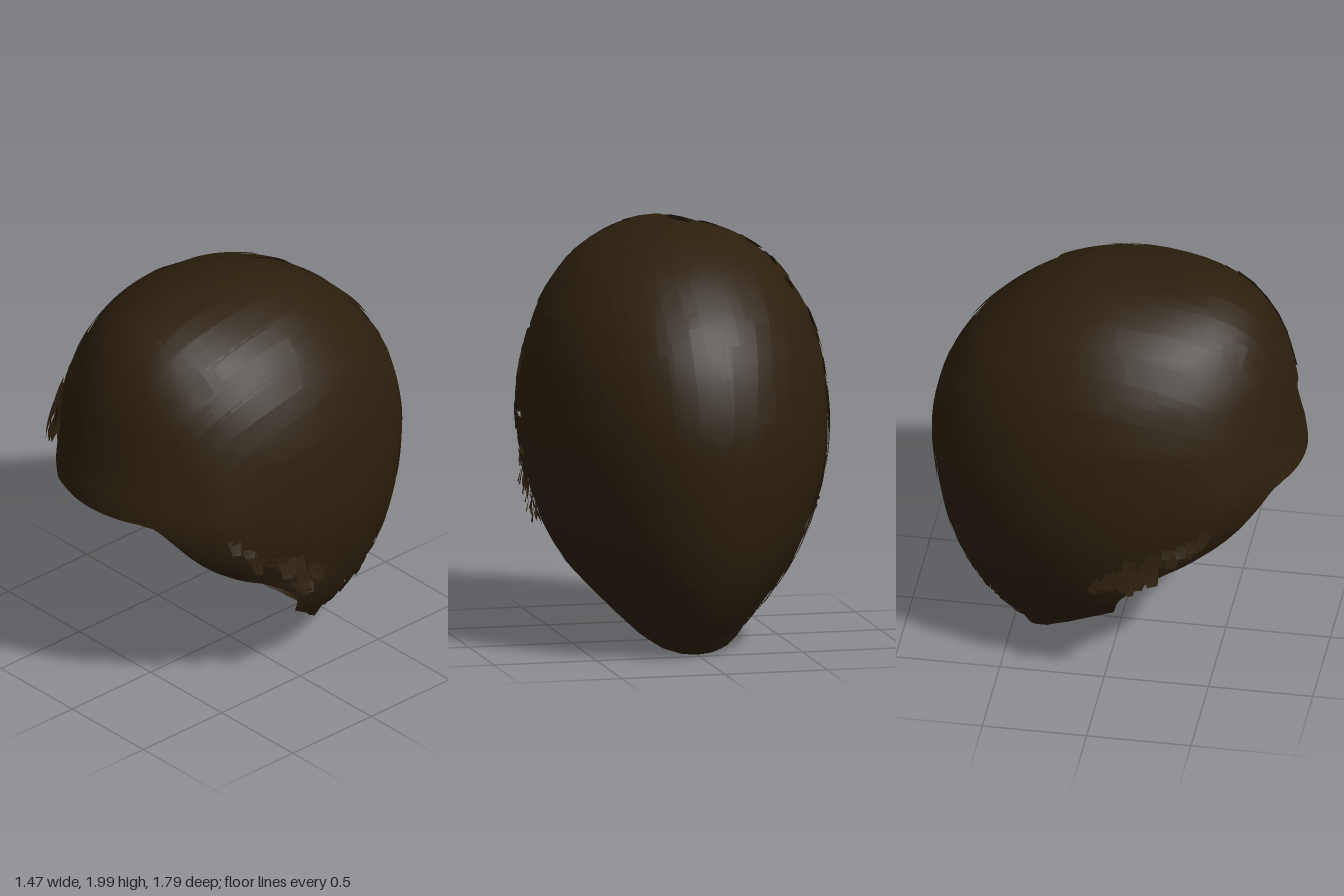
import * as THREE from 'three';

const TOP = 1.975, ZC = 0.05;

// head sections: y, half width, front z, back z
const SECTIONS = [
  [1.975, 0, 0.05, 0.05], [1.96, 0.16, 0.38, -0.18], [1.9, 0.33, 0.56, -0.33], [1.8, 0.47, 0.68, -0.5],
  [1.6, 0.61, 0.78, -0.71], [1.4, 0.68, 0.82, -0.82], [1.2, 0.705, 0.86, -0.87], [1.07, 0.71, 0.9, -0.88],
  [0.9, 0.7, 0.83, -0.865], [0.8, 0.68, 0.75, -0.85], [0.7, 0.65, 0.62, -0.83], [0.6, 0.62, 0.48, -0.81],
  [0.4, 0.53, 0.4, -0.74], [0.2, 0.37, 0.3, -0.62], [0.1, 0.31, 0.25, -0.53], [0, 0.29, 0.2, -0.41],
];
// lower rim of the scalp and start of the hair: angle from the front, y
const RIM = [[0, 1.075], [0.4, 1.075], [0.49, 1.065], [0.57, 1.02], [0.68, 0.9], [0.76, 0.8], [0.86, 0.73],
  [0.95, 0.695], [1.08, 0.67], [1.3, 0.59], [1.5, 0.5], [1.57, 0.4], [1.7, 0.33], [1.95, 0.2], [2.26, 0.1],
  [2.6, 0.04], [2.9, 0.015], [3.15, 0.01]];
const HAIRLINE = [[0, 1.36], [0.5, 1.33], [0.7, 1.2], [1, 1], [1.3, 0.75], [1.5, 0.56], [1.6, 0.42],
  [1.95, 0.24], [2.26, 0.16], [3.15, 0.1]];

function lookup(table, key, col = 1) {
  let i = 0;
  while (i < table.length - 2 && key > table[i + 1][0]) i++;
  const a = table[i], b = table[i + 1];
  const t = THREE.MathUtils.clamp((key - a[0]) / (b[0] - a[0]), 0, 1);
  return a[col] + (b[col] - a[col]) * t;
}

// sections keyed by root of depth, so that the crown is round
const depthKey = y => Math.sqrt(Math.max(0, TOP - y));
const KEYED = SECTIONS.map(([y, ...r]) => [depthKey(y), ...r]);
function section(y) {
  const k = depthKey(y), e = 0.04;
  return [1, 2, 3].map(c => (k < e ? lookup(KEYED, k, c)
    : (lookup(KEYED, k - e, c) + 2 * lookup(KEYED, k, c) + lookup(KEYED, k + e, c)) / 4));
}

function scalpPoint(phi, y) {
  const [w, f, b] = section(y);
  const c = Math.cos(phi);
  return new THREE.Vector3(w * Math.sin(phi), y, ZC + (c > 0 ? f - ZC : ZC - b) * c);
}

// position inside its section: 1 is on the surface
function relative(p) {
  const [w, f, b] = section(p.y);
  return [Math.abs(p.x) / Math.max(w, 1e-4), (p.z - ZC) / Math.max(p.z > ZC ? f - ZC : ZC - b, 1e-4)];
}
const angleOf = p => Math.atan2(...relative(p));

// where a ray from the middle of the head leaves it
const CENTRE = new THREE.Vector3(0, 0.9, 0);
function hit(dir) {
  let lo = 0, hi = 1.6;
  const p = new THREE.Vector3();
  for (let i = 0; i < 18; i++) {
    const m = (lo + hi) / 2;
    p.copy(CENTRE).addScaledVector(dir, m);
    if (p.y < TOP && p.y > 0 && Math.hypot(...relative(p)) < 1) lo = m; else hi = m;
  }
  return p;
}

function makeGeometry(pos, index) {
  const g = new THREE.BufferGeometry();
  g.setAttribute('position', new THREE.Float32BufferAttribute(pos, 3));
  g.setIndex(index);
  g.computeVertexNormals();
  return g;
}

function scalpGeometry() {
  const N = 128, M = 36, pos = [], index = [];
  for (let j = 0; j <= M; j++) {
    for (let i = 0; i < N; i++) {
      const phi = (i / N) * Math.PI * 2;
      const rim = lookup(RIM, Math.min(phi, Math.PI * 2 - phi));
      const y = TOP - (TOP - rim) * (1 - Math.cos((Math.max(j, 0.02) / M) * Math.PI / 2));
      pos.push(...scalpPoint(phi, y).toArray());
      if (j < M) {
        const a = j * N + i, b = j * N + (i + 1) % N;
        index.push(a, a + N, b, b, a + N, b + N);
      }
    }
  }
  return makeGeometry(pos, index);
}

let seed = 7;
const rand = (lo = 0, hi = 1) => {
  seed = (seed * 16807) % 2147483647;
  return lo + (hi - lo) * (seed / 2147483647);
};

// strands run from the brow over the head to the nape
const BROW = new THREE.Vector3(0, -0.15, 1).normalize();
const NAPE = new THREE.Vector3(0, -0.8, -0.6).normalize();
const UP = new THREE.Vector3(0, 0.93, -0.37).normalize();
function strandPoint(a, th) {
  const c = Math.cos(a), s = Math.sin(a);
  const d = (c > 0 ? BROW : NAPE).clone().multiplyScalar(Math.abs(c));
  d.addScaledVector(UP, s * Math.cos(th));
  d.x += s * Math.sin(th);
  return hit(d.normalize());
}

// the hair is fuller at the temples
const fullness = (phi, y) => 0.045 * Math.exp(-(((phi - 0.9) / 0.25) ** 2) - ((y - 1.1) / 0.25) ** 2);

function addStrand(pos, index, { lane, half, start, end, lift, drift }) {
  const steps = 15, across = 3;
  let rows = 0;
  const first = pos.length / 3;
  for (let i = 0; i <= steps; i++) {
    const t = i / steps, a = start + (end - start) * t, th = lane + drift * t;
    const mid = strandPoint(a, th), phi = angleOf(mid);
    if (mid.y < lookup(HAIRLINE, phi) + 0.005) {
      if (rows) break;
      continue;
    }
    for (let k = 0; k < across; k++) {
      const p = strandPoint(a, th + half * (k - 1));
      const out = p.clone().sub(CENTRE).normalize();
      p.addScaledVector(out, lift + 0.01 * t + fullness(phi, mid.y));
      pos.push(p.x, p.y, p.z);
      if (rows && k) {
        const n = first + rows * across + k, m = n - across;
        index.push(m - 1, m, n - 1, m, n, n - 1);
      }
    }
    rows++;
  }
}

function hairGeometry() {
  const pos = [], index = [], LANES = 45;
  for (let i = 0; i < LANES; i++) {
    for (let start = rand(0.1, 0.3); start < 2.95; start += rand(0.24, 0.38)) {
      addStrand(pos, index, {
        lane: -2 + (4 * i) / (LANES - 1) + rand(-0.03, 0.03),
        half: rand(0.04, 0.065),
        start,
        end: Math.min(start + rand(0.45, 0.8), 3.08),
        lift: rand(0.004, 0.02),
        drift: rand(-0.05, 0.05),
      });
    }
  }
  return makeGeometry(pos, index);
}

// short loose locks in front of and around the ear
function tuftGeometry(side) {
  const pos = [], index = [];
  for (let i = 0; i < 30; i++) {
    const t = rand();
    const phi = 1.0 + 0.55 * t + rand(-0.06, 0.06);
    const y = 1.0 - 0.34 * t + rand(-0.06, 0.06);
    const root = scalpPoint(phi, y);
    const turn = rand(-0.2, 1.3), len = rand(0.07, 0.13), wide = rand(0.025, 0.05);
    const first = pos.length / 3;
    for (let k = 0; k < 3; k++) {
      const along = (k / 2) * len, w = wide * (1 - 0.25 * k);
      for (const s of [-1, 1]) {
        pos.push(side * (root.x + 0.015 + 0.012 * k + 0.008 * s),
          root.y - along * Math.cos(turn) + s * w * Math.sin(turn),
          root.z - along * Math.sin(turn) - s * w * Math.cos(turn));
      }
      if (k) {
        const n = first + k * 2;
        if (side > 0) index.push(n - 2, n, n - 1, n - 1, n, n + 1);
        else index.push(n - 2, n - 1, n, n - 1, n + 1, n);
      }
    }
  }
  return makeGeometry(pos, index);
}

export function createModel() {
  const group = new THREE.Group();
  group.name = 'hair';
  const brown = new THREE.MeshStandardMaterial({ color: 0x2c200e, side: THREE.DoubleSide });
  brown.name = 'dark brown';
  const add = (name, geometry) => {
    const mesh = new THREE.Mesh(geometry, brown);
    mesh.name = name;
    group.add(mesh);
  };
  add('scalpCap', scalpGeometry());
  add('hairStrands', hairGeometry());
  add('leftEarTufts', tuftGeometry(1));
  add('rightEarTufts', tuftGeometry(-1));
  return group;
}
